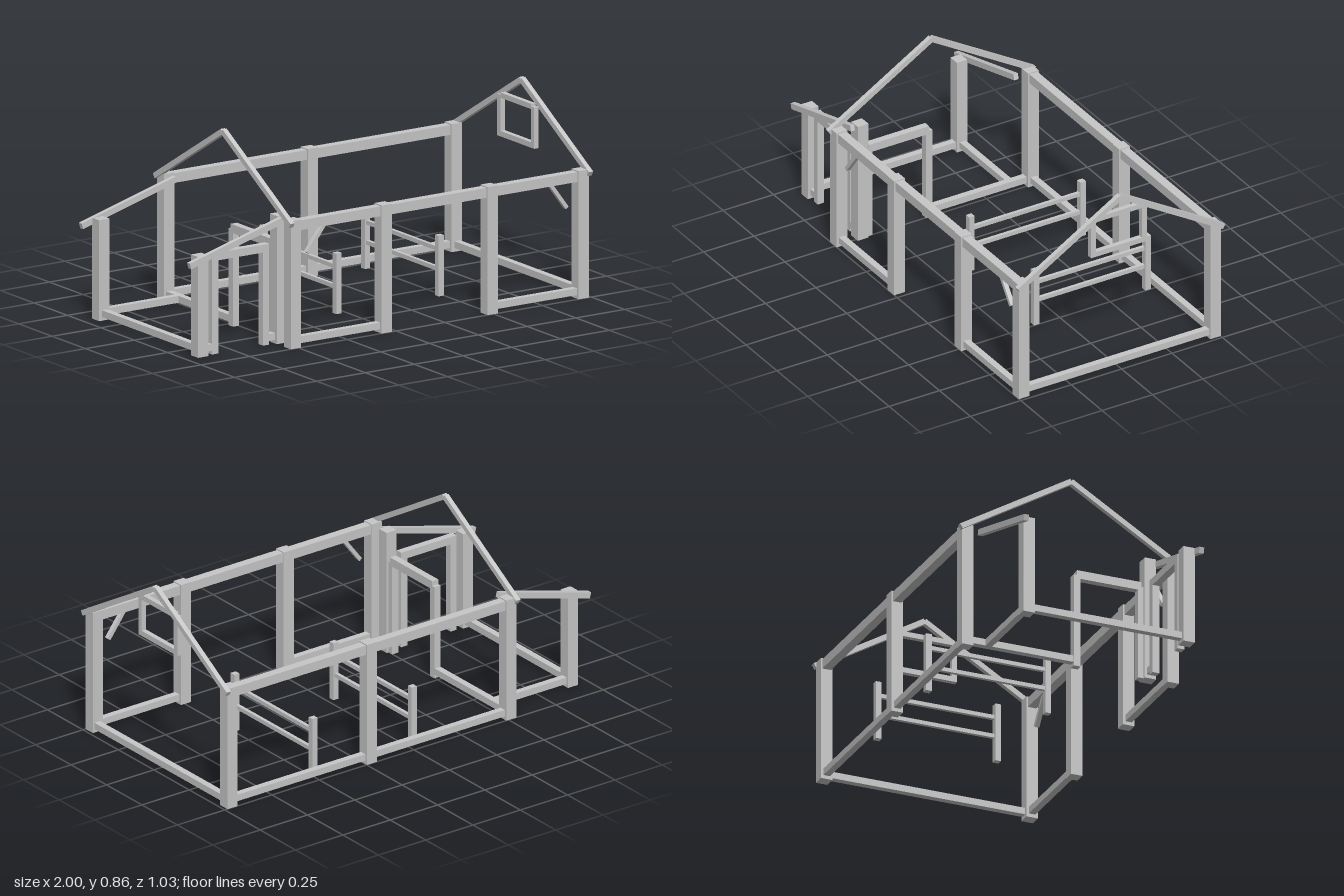
import * as THREE from 'three';

export function createModel() {
  const house = new THREE.Group();
  house.name = 'timberFrame';
  const timber = new THREE.MeshStandardMaterial({ color: 0xc6c6c6 });
  timber.name = 'light grey timber';

  // Box given by its low and high limits on each axis
  function box(name, x0, x1, y0, y1, z0, z1, parent = house) {
    const mesh = new THREE.Mesh(new THREE.BoxGeometry(x1 - x0, y1 - y0, z1 - z0), timber);
    mesh.position.set((x0 + x1) / 2, (y0 + y1) / 2, (z0 + z1) / 2);
    mesh.name = name;
    parent.add(mesh);
    return mesh;
  }

  // Upright square post standing on the ground
  const post = (name, x, z, h, w = 0.053, parent = house) =>
    box(name, x - w / 2, x + w / 2, 0, h, z - w / 2, z + w / 2, parent);

  // Sloping bar lying in the front plane (x, y)
  function slopeX(name, xa, ya, xb, yb, z, thick, wide) {
    const mesh = new THREE.Mesh(
      new THREE.BoxGeometry(Math.hypot(xb - xa, yb - ya), thick, wide), timber);
    mesh.position.set((xa + xb) / 2, (ya + yb) / 2, z);
    mesh.rotation.z = Math.atan2(yb - ya, xb - xa);
    mesh.name = name;
    house.add(mesh);
  }

  // Sloping bar lying in the side plane (z, y)
  function slopeZ(name, za, ya, zb, yb, x, thick, wide) {
    const mesh = new THREE.Mesh(
      new THREE.BoxGeometry(wide, thick, Math.hypot(zb - za, yb - ya)), timber);
    mesh.position.set(x, (ya + yb) / 2, (za + zb) / 2);
    mesh.rotation.x = -Math.atan2(yb - ya, zb - za);
    mesh.name = name;
    house.add(mesh);
  }

  // Main posts
  const wallZ = 0.475;
  const leftX = 0.96, rightX = -0.514, half = 0.0265;
  const frontPosts = [rightX, -0.049, 0.494, leftX];
  const backPosts = [rightX, 0.223, leftX];
  frontPosts.forEach(x => post('frontPost', x, wallZ, 0.56));
  backPosts.forEach(x => post('backPost', x, -wallZ, 0.56));

  // Top plates and sills between neighbouring posts; the front middle bay is open below
  function wallBeams(name, xs, z, openBay) {
    for (let i = 0; i < xs.length - 1; i++) {
      const a = xs[i] + half, b = xs[i + 1] - half;
      box(name + 'TopPlate', a, b, 0.512, 0.555, z - 0.02, z + 0.02);
      if (i !== openBay) box(name + 'Sill', a, b, 0.016, 0.046, z - 0.015, z + 0.015);
    }
  }
  wallBeams('front', frontPosts, wallZ, 1);
  wallBeams('back', backPosts, -wallZ, -1);
  box('leftEndSill', 0.948, 0.978, 0.016, 0.046, -0.449, 0.449);
  box('rightEndSill', -0.529, -0.499, 0.016, 0.046, -0.449, 0.02);

  // Gable rafters
  for (const x of [0.989, -0.541])
    for (const s of [1, -1])
      slopeZ('gableRafter', s * 0.509, 0.542, 0, 0.846, x, 0.024, 0.022);

  // Gable window frame
  for (const s of [1, -1]) {
    const z = s * 0.1265;
    box('windowSide', 0.955, 0.978, 0.6, 0.757, z - 0.0118, z + 0.0118);
  }
  box('windowTop', 0.955, 0.978, 0.745, 0.768, -0.115, 0.115);
  box('windowBottom', 0.955, 0.978, 0.576, 0.6, -0.138, 0.138);

  // Knee braces under the front plate
  slopeX('kneeBrace', -0.442, 0.403, -0.358, 0.513, wallZ, 0.017, 0.02);
  slopeX('kneeBrace', 0.888, 0.403, 0.806, 0.513, wallZ, 0.017, 0.02);

  // Stall fences
  for (const x of [-0.038, 0.486]) {
    const fence = new THREE.Group();
    fence.name = 'stallFence';
    house.add(fence);
    post('fencePost', x, 0.114, 0.265, 0.027, fence);
    post('fencePost', x, -0.438, 0.265, 0.027, fence);
    for (const y of [0.116, 0.204])
      box('fenceRail', x - 0.008, x + 0.008, y - 0.009, y + 0.009, -0.425, 0.101, fence);
  }

  // Lean-to posts, sills and rafters
  const leanX = -0.918, leanZ = 0.37;
  post('leanToPost', leanX, leanZ, 0.441);
  post('leanToPost', leanX, -leanZ, 0.441);
  post('leanToInnerPost', rightX, leanZ, 0.56);
  box('leanToEndSill', -0.931, -0.901, 0.016, 0.046, -0.344, 0.344);
  box('leanToBackSill', -0.892, -0.529, 0.016, 0.046, -0.387, -0.357);
  box('leanToFrontSill', -0.892, -0.864, 0.016, 0.046, 0.353, 0.383);
  box('leanToFrontSill', -0.571, -0.54, 0.016, 0.046, 0.353, 0.383);
  for (const s of [1, -1])
    slopeX('leanToRafter', -0.996, 0.411, -0.514, 0.545, s * 0.405, 0.027, 0.022);

  // Outer door frame in the lean-to front
  for (const x of [-0.848, -0.587]) post('outerDoorJamb', x, 0.368, 0.425, 0.032);
  box('outerDoorLintel', -0.864, -0.571, 0.407, 0.441, 0.352, 0.384);

  // Inner door frame between the lean-to and the main room
  for (const z of [0.334, 0.036]) post('innerDoorJamb', rightX, z, 0.425, 0.032);
  box('innerDoorLintel', -0.53, -0.498, 0.409, 0.447, 0.036, 0.334);

  return house;
}
